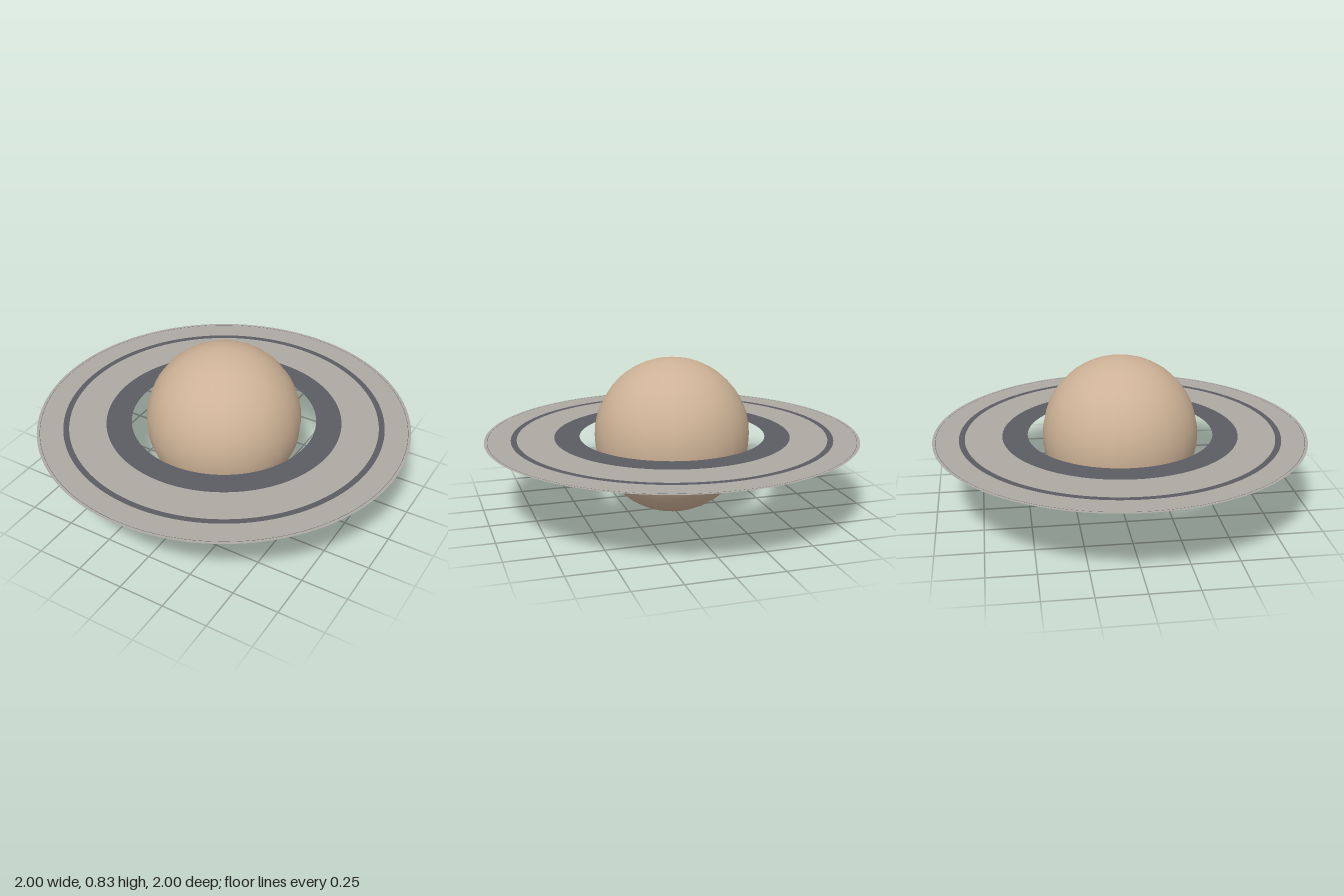
import * as THREE from 'three';

const RADIUS = 0.417;

function material(name, color, side = THREE.FrontSide) {
  const m = new THREE.MeshStandardMaterial({ color, side });
  m.name = name;
  return m;
}

export function createModel() {
  const group = new THREE.Group();
  group.name = 'ringedPlanet';

  const tan = material('planet tan', 0xcdb296);
  const pale = material('pale ring grey', 0xaca9a2, THREE.DoubleSide);
  const dark = material('dark ring grey', 0x5b5b63, THREE.DoubleSide);

  // Planet body resting on the ground
  const planet = new THREE.Mesh(new THREE.SphereGeometry(RADIUS, 24, 24), tan);
  planet.name = 'planet';
  planet.position.y = RADIUS;
  group.add(planet);

  // Flat concentric ring bands around the equator
  const bands = [
    ['innerDarkRing', 0.497, 0.632, dark],
    ['mainPaleRing', 0.632, 0.83, pale],
    ['darkDivision', 0.83, 0.861, dark],
    ['outerPaleRing', 0.861, 0.983, pale],
    ['narrowDivision', 0.983, 0.985, dark],
    ['rimRing', 0.985, 1, pale],
  ];
  for (const [name, inner, outer, mat] of bands) {
    const geometry = new THREE.RingGeometry(inner, outer, 128, 1).rotateX(-Math.PI / 2);
    const ring = new THREE.Mesh(geometry, mat);
    ring.name = name;
    ring.position.y = RADIUS;
    group.add(ring);
  }

  return group;
}
